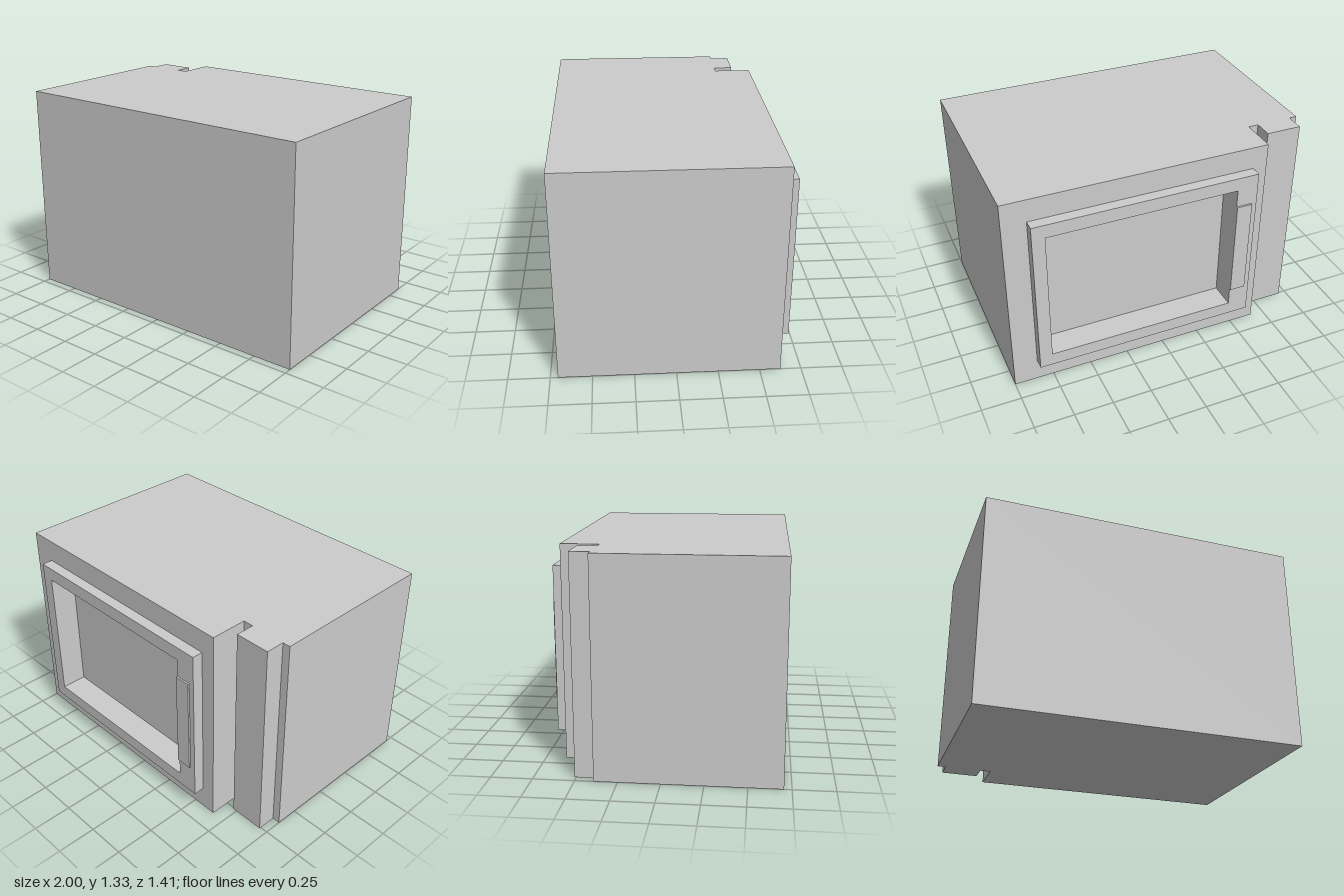
import * as THREE from 'three';

const material = new THREE.MeshStandardMaterial({ color: 0xcccccc, flatShading: true });

function addPart(group, name, geometry) {
  const mesh = new THREE.Mesh(geometry, material);
  mesh.name = name;
  group.add(mesh);
}

const rectangle = (x0, x1, y0, y1) =>
  [[x0, y0], [x1, y0], [x1, y1], [x0, y1]].map(([x, y]) => new THREE.Vector2(x, y));

// Window opening shared by the cabinet wall and the door frame
const WINDOW = rectangle(-0.435, 0.77, 0.23, 1.1);

// Upright panel between two depths, with the window cut through it
function windowPanel(x0, x1, y0, y1, zBack, zFront) {
  const shape = new THREE.Shape(rectangle(x0, x1, y0, y1));
  shape.holes.push(new THREE.Path(WINDOW));
  return new THREE.ExtrudeGeometry(shape, { depth: zFront - zBack, bevelEnabled: false })
    .translate(0, 0, zBack);
}

export function createModel() {
  const group = new THREE.Group();
  const height = 1.33, pocketZ = -0.527, wallZ = -0.625;

  // Cabinet: plan outline [x, z] with the control column standing out of its recess
  const plan = [
    [-1, 0.705], [1, 0.705], [1, pocketZ], [-0.66, pocketZ], [-0.66, -0.39],
    [-0.725, -0.39], [-0.725, -0.51], [-0.95, -0.51], [-0.95, -0.39], [-1, -0.39],
  ];
  const outline = new THREE.Shape(plan.map(([x, z]) => new THREE.Vector2(x, -z)));
  addPart(group, 'cabinet',
    new THREE.ExtrudeGeometry(outline, { depth: height, bevelEnabled: false }).rotateX(-Math.PI / 2));

  // Cabinet wall around the window pocket, and the raised door frame on it
  addPart(group, 'windowWall', windowPanel(-0.66, 1, 0, height, wallZ, pocketZ));
  addPart(group, 'doorFrame', windowPanel(-0.57, 0.85, 0.147, 1.186, -0.694, wallZ));

  // Thin handle plate beside the window
  addPart(group, 'doorHandle',
    new THREE.BoxGeometry(0.1, 0.637, 0.011).translate(-0.485, 0.667, -0.6995));

  return group;
}
